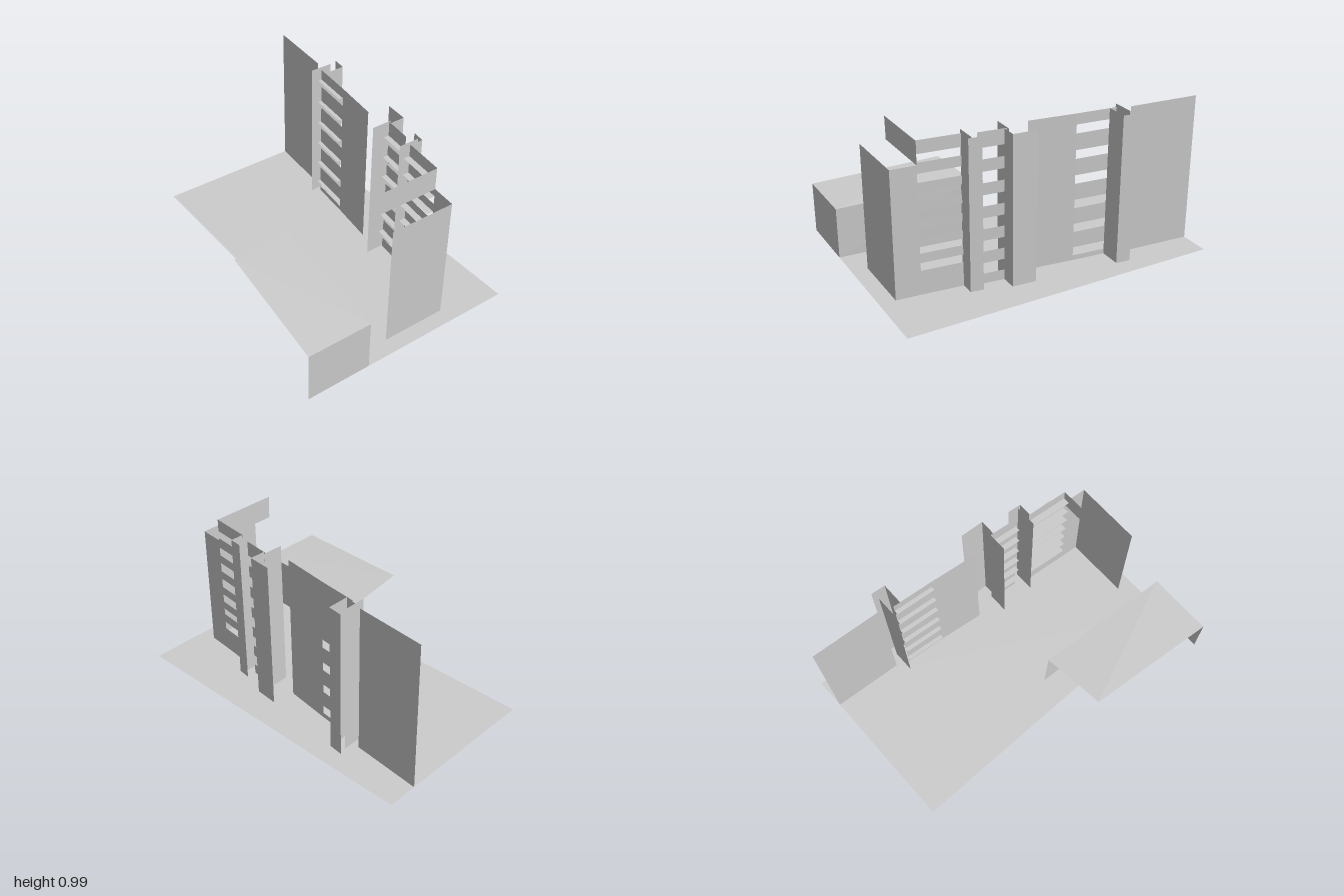
import * as THREE from 'three';

const GROUND = 0.035, TOP = 0.985;

export function createModel() {
  const model = new THREE.Group();
  const grey = new THREE.MeshStandardMaterial({ color: 0xcccccc, side: THREE.DoubleSide });
  grey.name = 'plainGrey';

  // Thin four-cornered sheet, corners counter-clockwise as seen from its front
  function sheet(parent, name, a, b, c, d) {
    const geo = new THREE.BufferGeometry();
    geo.setAttribute('position', new THREE.Float32BufferAttribute([a, b, c, a, c, d].flat(), 3));
    geo.computeVertexNormals();
    const mesh = new THREE.Mesh(geo, grey);
    mesh.name = name;
    parent.add(mesh);
  }

  // Upright sheet between two plan points [x, z]
  function wall(parent, name, p, q, y0 = GROUND, y1 = TOP) {
    sheet(parent, name, [p[0], y0, p[1]], [q[0], y0, q[1]], [q[0], y1, q[1]], [p[0], y1, p[1]]);
  }

  // Stacked spandrels with open window strips; each window has an inner lintel shelf
  function windowBay(name, p, q, windows, depth) {
    const bay = new THREE.Group();
    bay.name = name;
    let y = GROUND;
    for (const [bottom, top] of windows) {
      wall(bay, 'spandrel', p, q, y, bottom);
      sheet(bay, 'lintelShelf', [p[0] - depth, top, p[1]], [p[0], top, p[1]],
        [q[0], top, q[1]], [q[0] - depth, top, q[1]]);
      y = top;
    }
    wall(bay, 'spandrel', p, q, y, TOP);
    model.add(bay);
  }

  // Evenly spaced windows
  const rows = (count, first, pitch, height) =>
    Array.from({ length: count }, (_, i) => [first + i * pitch, first + i * pitch + height]);

  // Ground
  sheet(model, 'ground', [-0.41, GROUND, 1], [0.71, GROUND, 1], [0.71, GROUND, -1], [-0.41, GROUND, -1]);

  // Low annex: front, side and sloping roof, open elsewhere
  const annex = new THREE.Group();
  annex.name = 'annex';
  model.add(annex);
  wall(annex, 'annexFront', [-0.71, 1], [-0.295, 1], GROUND, 0.363);
  sheet(annex, 'annexSide', [-0.295, GROUND, 1], [-0.235, GROUND, 0.095],
    [-0.23, 0.382, 0.12], [-0.295, 0.363, 1]);
  sheet(annex, 'annexRoof', [-0.295, 0.363, 1], [-0.23, 0.382, 0.12],
    [-0.635, 0.402, 0.16], [-0.71, 0.363, 1]);

  // Front of the tall block, with the set-back upper panel
  wall(model, 'frontWall', [-0.09, 0.9], [0.328, 0.9], GROUND, 0.84);
  sheet(model, 'upperFrontPanel', [-0.078, 0.84, 0.745], [0.342, 0.84, 0.745],
    [0.342, 0.983, 0.745], [-0.084, 0.983, 0.745]);

  // Slanted street facade
  wall(model, 'cornerWall', [0.328, 0.9], [0.342, 0.745], GROUND, 0.84);
  windowBay('frontWindowBay', [0.342, 0.745], [0.37, 0.485],
    [[0.19, 0.24], [0.3, 0.342], [0.395, 0.45], [0.505, 0.565], [0.62, 0.68], [0.735, 0.79], [0.855, 0.905]], 0.042);
  windowBay('middleWindowBay', [0.402, 0.41], [0.422, 0.235], rows(6, 0.1, 0.144, 0.07), 0.035);
  wall(model, 'middleWall', [0.388, 0.08], [0.426, -0.22]);
  windowBay('rearWindowBay', [0.426, -0.22], [0.452, -0.475], rows(6, 0.067, 0.159, 0.055), 0.026);
  wall(model, 'rearWall', [0.483, -0.555], [0.519, -1]);

  // Projecting pillars: front face, street face and an inner fin reaching below ground
  const pillars = [
    { inner: 0.37, outer: [0.455, 0.49], end: [0.465, 0.41], fin: [0.31, 0.445, 0.465] },
    { inner: 0.42, outer: [0.519, 0.25], end: [0.53, 0.102], fin: [0.305, 0.437, 0.23] },
    { inner: 0.448, outer: [0.585, -0.43], end: [0.595, -0.52], fin: [0.4, 0.545, -0.505] },
  ];
  for (const { inner, outer, end, fin } of pillars) {
    const pillar = new THREE.Group();
    pillar.name = 'pillar';
    wall(pillar, 'pillarFront', [inner, outer[1]], outer);
    wall(pillar, 'pillarStreetFace', outer, end);
    wall(pillar, 'pillarFin', [fin[0], fin[2]], [fin[1], fin[2]], 0, TOP);
    model.add(pillar);
  }
  return model;
}
